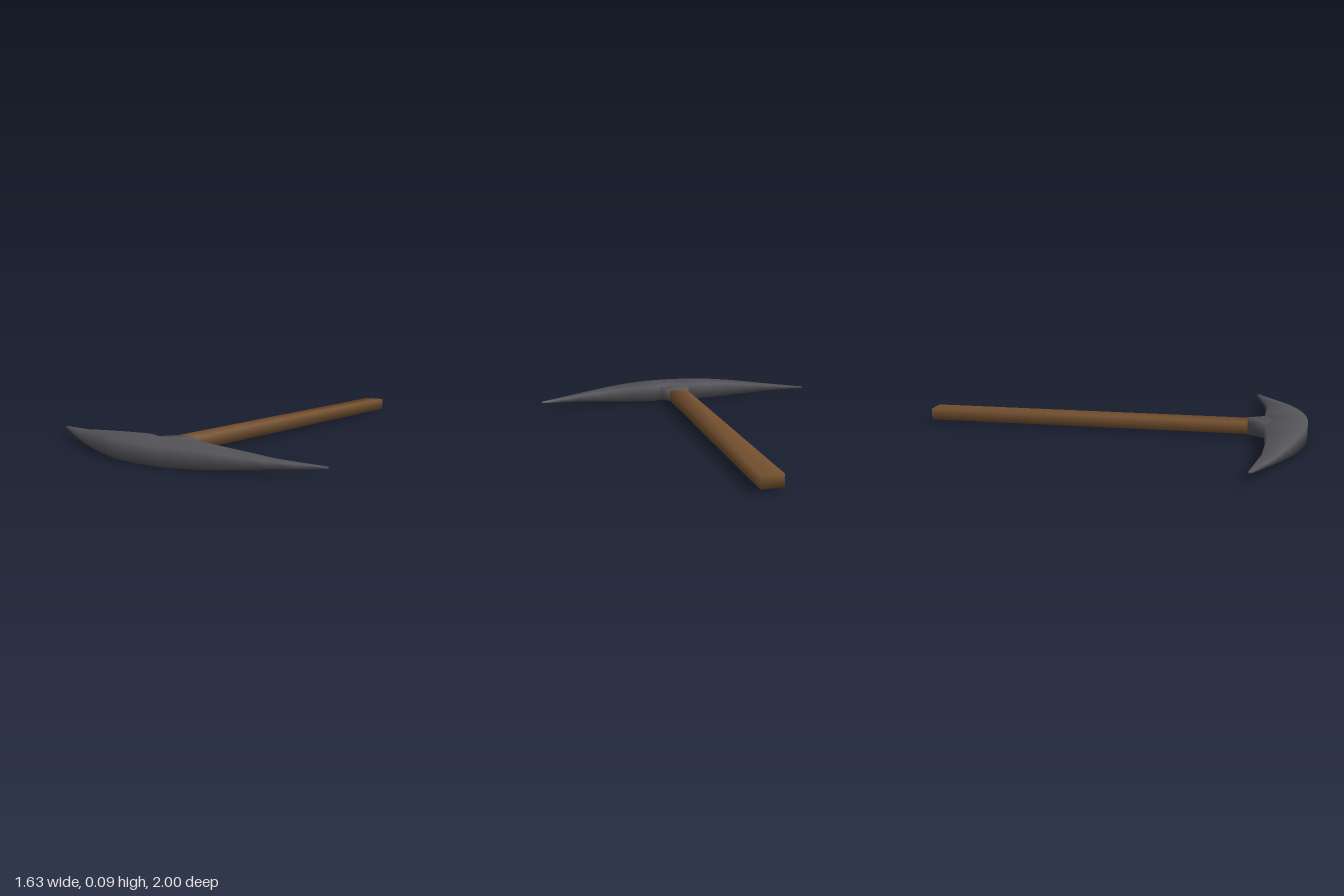
import * as THREE from 'three';

const MID = 0.044; // height of the tool's centre plane

// Smooth skin over a row of four-cornered rings; corners run anticlockwise seen from the last ring
function loft(rings) {
  const index = [];
  const quad = (a, b, c, d) => index.push(a, b, c, a, c, d);
  const last = (rings.length - 1) * 4;
  for (let r = 0; r < last; r += 4) {
    for (let i = 0; i < 4; i++) {
      const j = (i + 1) % 4;
      quad(r + i, r + j, r + 4 + j, r + 4 + i);
    }
  }
  quad(3, 2, 1, 0);
  quad(last, last + 1, last + 2, last + 3);
  const geometry = new THREE.BufferGeometry();
  geometry.setAttribute('position', new THREE.Float32BufferAttribute(rings.flat(2), 3));
  geometry.setIndex(index);
  geometry.computeVertexNormals();
  return geometry;
}

// Rectangular ring across the shaft
const shaftRing = (z, w, h, y) => [[-w, y - h, z], [w, y - h, z], [w, y + h, z], [-w, y + h, z]];

// Rectangular ring across the pick head
const headRing = (x, front, back, h) => [
  [x, MID - h, back], [x, MID + h, back], [x, MID + h, front], [x, MID - h, front],
];

export function createModel() {
  const wood = new THREE.MeshStandardMaterial({ color: 0x74502f });
  wood.name = 'brown wood';
  const metal = new THREE.MeshStandardMaterial({ color: 0x555459 });
  metal.name = 'dark metal';

  const group = new THREE.Group();
  group.name = 'pickaxe';
  const add = (name, geometry, material) => {
    const mesh = new THREE.Mesh(geometry, material);
    mesh.name = name;
    group.add(mesh);
  };

  // Wooden shaft
  add('handle', loft([shaftRing(-1, 0.054, 0.03, 0.047), shaftRing(0.72, 0.054, 0.03, 0.047)]), wood);

  // Flared socket between shaft and head
  add('collar', loft([
    shaftRing(0.7, 0.057, 0.032, 0.047),
    shaftRing(0.8, 0.09, 0.038, 0.045),
    shaftRing(0.86, 0.09, 0.038, 0.045),
  ]), metal);

  // Curved double-pointed head: x, front z, back z, half height
  const half = [
    [0, 1, 0.825, 0.044],
    [0.085, 0.995, 0.802, 0.044],
    [0.14, 0.988, 0.785, 0.044],
    [0.2, 0.976, 0.79, 0.043],
    [0.29, 0.952, 0.797, 0.04],
    [0.4, 0.92, 0.795, 0.033],
    [0.5, 0.885, 0.787, 0.025],
    [0.59, 0.85, 0.778, 0.017],
    [0.7, 0.798, 0.753, 0.01],
    [0.815, 0.742, 0.727, 0.004],
  ];
  const mirrored = half.slice(1).reverse().map(([x, ...rest]) => [-x, ...rest]);
  add('pickHead', loft([...mirrored, ...half].map((s) => headRing(...s))), metal);

  return group;
}
